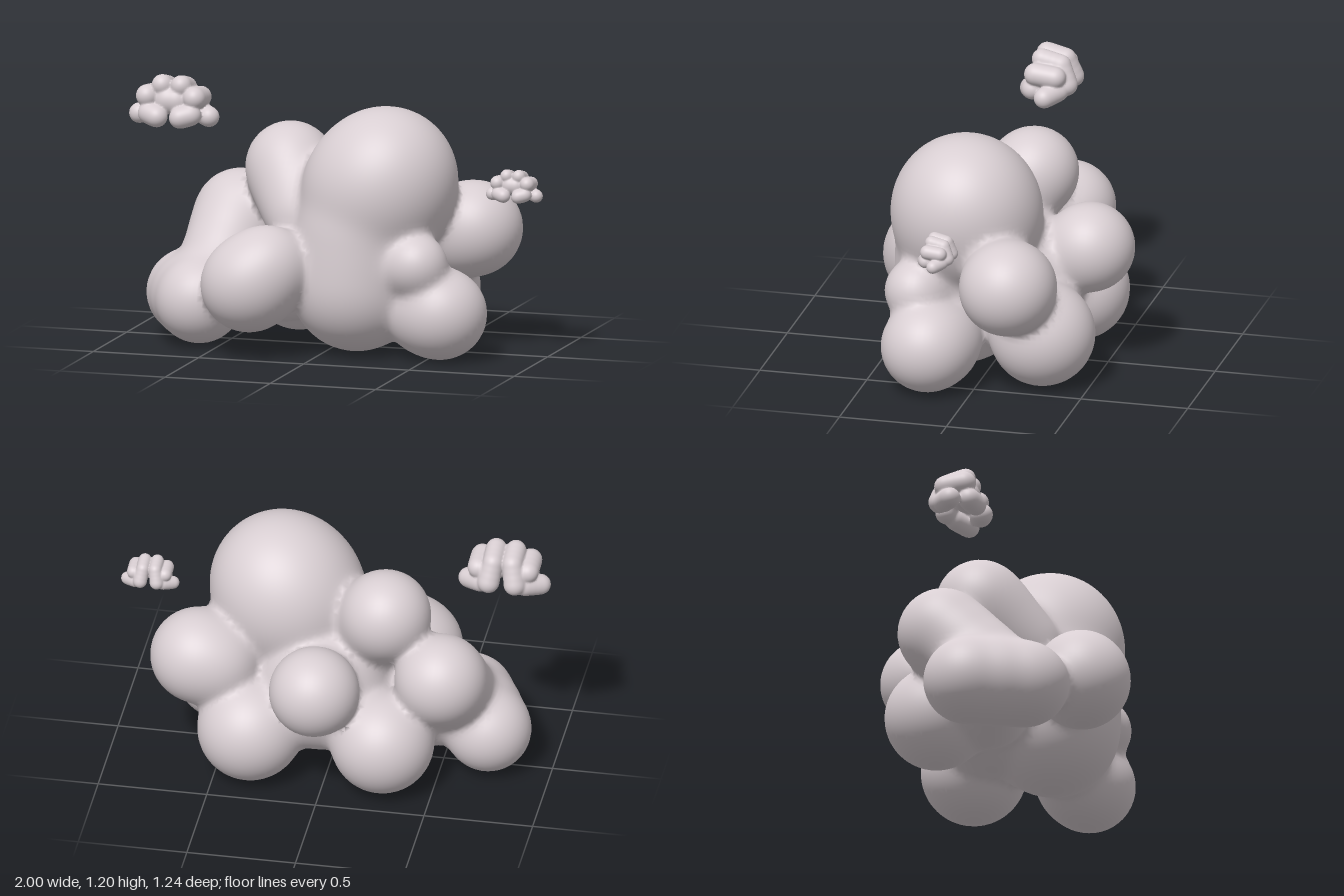
import * as THREE from 'three';

// Smooth union of balls [x, y, z, radius]; k is the softness of the creases
const field = (balls, k) => (x, y, z) => {
  let sum = 0;
  for (const [a, b, c, r] of balls) sum += Math.exp((r - Math.hypot(x - a, y - b, z - c)) / k);
  return -k * Math.log(sum + 1e-30);
};

// Row of balls blending from one ball to another, for the stretched puffs
const stretch = (from, to, count = 4) => Array.from({ length: count }, (_, i) =>
  from.map((v, a) => THREE.MathUtils.lerp(v, to[a], i / (count - 1))));

// Skin the blended balls with a grid of the given cell size
function blobGeometry(balls, k, cell) {
  const f = field(balls, k);
  const low = [0, 1, 2].map(a => Math.min(...balls.map(b => b[a] - b[3])) - 2.5 * cell);
  const n = [0, 1, 2].map(a => Math.ceil((Math.max(...balls.map(b => b[a] + b[3])) + 2.5 * cell - low[a]) / cell));
  const step = [1, n[0], n[0] * n[1]];
  const values = new Float32Array(n[0] * n[1] * n[2]);
  const each = (margin, visit) => {
    for (let z = margin; z < n[2] - 1; z++)
      for (let y = margin; y < n[1] - 1; y++)
        for (let x = margin; x < n[0] - 1; x++) visit([x, y, z], x + y * step[1] + z * step[2]);
  };
  for (let i = 0; i < values.length; i++) {
    const x = i % n[0], y = Math.floor(i / n[0]) % n[1], z = Math.floor(i / step[2]);
    values[i] = f(low[0] + x * cell, low[1] + y * cell, low[2] + z * cell);
  }
  const gradient = (x, y, z) => {
    const e = cell * 0.05;
    return new THREE.Vector3(f(x + e, y, z) - f(x - e, y, z), f(x, y + e, z) - f(x, y - e, z),
      f(x, y, z + e) - f(x, y, z - e)).divideScalar(2 * e);
  };

  // One vertex in every cell that the surface crosses
  const ids = new Int32Array(values.length).fill(-1);
  const positions = [], normals = [], index = [];
  each(0, (p, i) => {
    const point = new THREE.Vector3();
    let hits = 0;
    for (let a = 0; a < 3; a++) {
      const b = (a + 1) % 3, c = (a + 2) % 3;
      for (let q = 0; q < 4; q++) {
        const u = q & 1, v = q >> 1;
        const j = i + u * step[b] + v * step[c];
        const d0 = values[j], d1 = values[j + step[a]];
        if ((d0 < 0) === (d1 < 0)) continue;
        const at = [];
        at[a] = p[a] + d0 / (d0 - d1);
        at[b] = p[b] + u;
        at[c] = p[c] + v;
        point.add(new THREE.Vector3(...at));
        hits++;
      }
    }
    if (!hits) return;
    point.multiplyScalar(cell / hits).add(new THREE.Vector3(...low));
    const g = gradient(point.x, point.y, point.z);
    const push = -f(point.x, point.y, point.z) / Math.max(g.lengthSq(), 0.3);
    point.addScaledVector(g, THREE.MathUtils.clamp(push, -cell * 0.5, cell * 0.5));
    ids[i] = positions.length / 3;
    positions.push(point.x, point.y, point.z);
    normals.push(...gradient(point.x, point.y, point.z).normalize().toArray());
  });

  // One quad around every grid edge that the surface crosses
  each(1, (p, i) => {
    for (let a = 0; a < 3; a++) {
      const inside = values[i] < 0;
      if (inside === (values[i + step[a]] < 0)) continue;
      const b = step[(a + 1) % 3], c = step[(a + 2) % 3];
      const quad = [ids[i - b - c], ids[i - c], ids[i], ids[i - b]];
      if (!inside) quad.reverse();
      index.push(quad[0], quad[1], quad[2], quad[0], quad[2], quad[3]);
    }
  });

  const geometry = new THREE.BufferGeometry();
  geometry.setAttribute('position', new THREE.Float32BufferAttribute(positions, 3));
  geometry.setAttribute('normal', new THREE.Float32BufferAttribute(normals, 3));
  geometry.setIndex(index);
  return geometry;
}

export function createModel() {
  const group = new THREE.Group();
  const cloudGrey = new THREE.MeshStandardMaterial({ color: 0xd8ced2 });
  cloudGrey.name = 'cloudGrey';

  const add = (name, geometry) => {
    const mesh = new THREE.Mesh(geometry, cloudGrey);
    mesh.name = name;
    group.add(mesh);
    return mesh;
  };

  // Large cloud
  add('largeCloud', blobGeometry([
    // crown and core
    ...stretch([0.27, 0.81, 0.1, 0.31], [0.22, 0.73, 0.1, 0.335], 3),
    ...stretch([0.16, 0.56, 0.15, 0.285], [0.14, 0.31, 0.145, 0.302], 3),
    [0.04, 0.4, -0.1, 0.3],
    // upper puffs
    ...stretch([-0.25, 0.795, -0.09, 0.203], [-0.13, 0.6, 0.08, 0.17]),
    ...stretch([-0.52, 0.54, -0.19, 0.207], [-0.55, 0.3, 0.08, 0.175]),
    ...stretch([0.6, 0.54, -0.18, 0.215], [0.52, 0.52, -0.18, 0.2], 2),
    [0.02, 0.555, -0.42, 0.205],
    // lower puffs
    ...stretch([-0.71, 0.2, -0.03, 0.195], [-0.585, 0.21, 0.215, 0.195], 3),
    [-0.27, 0.24, -0.29, 0.235],
    ...stretch([-0.45, 0.27, 0, 0.17], [-0.25, 0.27, -0.05, 0.18], 3),
    [0.34, 0.24, -0.28, 0.24],
    ...stretch([0.56, 0.21, 0.205, 0.207], [0.48, 0.21, 0.17, 0.19], 2),
    ...stretch([0.465, 0.44, 0.28, 0.14], [0.4, 0.43, 0.25, 0.13], 2),
    // front puff
    ...stretch([-0.295, 0.33, 0.4, 0.215], [-0.21, 0.41, 0.37, 0.185], 3),
  ], 0.02, 0.026));

  // Small clouds: one half of the puffs, mirrored
  const half = [
    ...stretch([0.045, 0.19, 0.03, 0.046], [0.045, 0.17, -0.06, 0.044], 4),
    ...stretch([0.112, 0.138, 0.045, 0.05], [0.115, 0.13, -0.05, 0.047], 4),
    ...stretch([0.166, 0.046, -0.01, 0.046], [0.1, 0.06, -0.06, 0.045], 4),
    ...stretch([0.054, 0.05, 0.08, 0.048], [0.1, 0.062, 0.06, 0.048], 3),
    ...stretch([0.06, 0.08, -0.09, 0.049], [0.05, 0.14, -0.07, 0.045], 3),
    [0.02, 0.12, 0.02, 0.065],
  ];
  const puffs = [...half, ...half.map(([x, y, z, r]) => [-x, y, z, r])];
  const smallGeometry = blobGeometry(puffs, 0.005, 0.008);

  const right = add('smallCloudRight', smallGeometry);
  right.position.set(-0.787, 0.96, -0.03);

  const left = add('smallCloudLeft', smallGeometry);
  left.position.set(0.865, 0.722, 0.078);
  left.scale.setScalar(0.63);

  return group;
}
